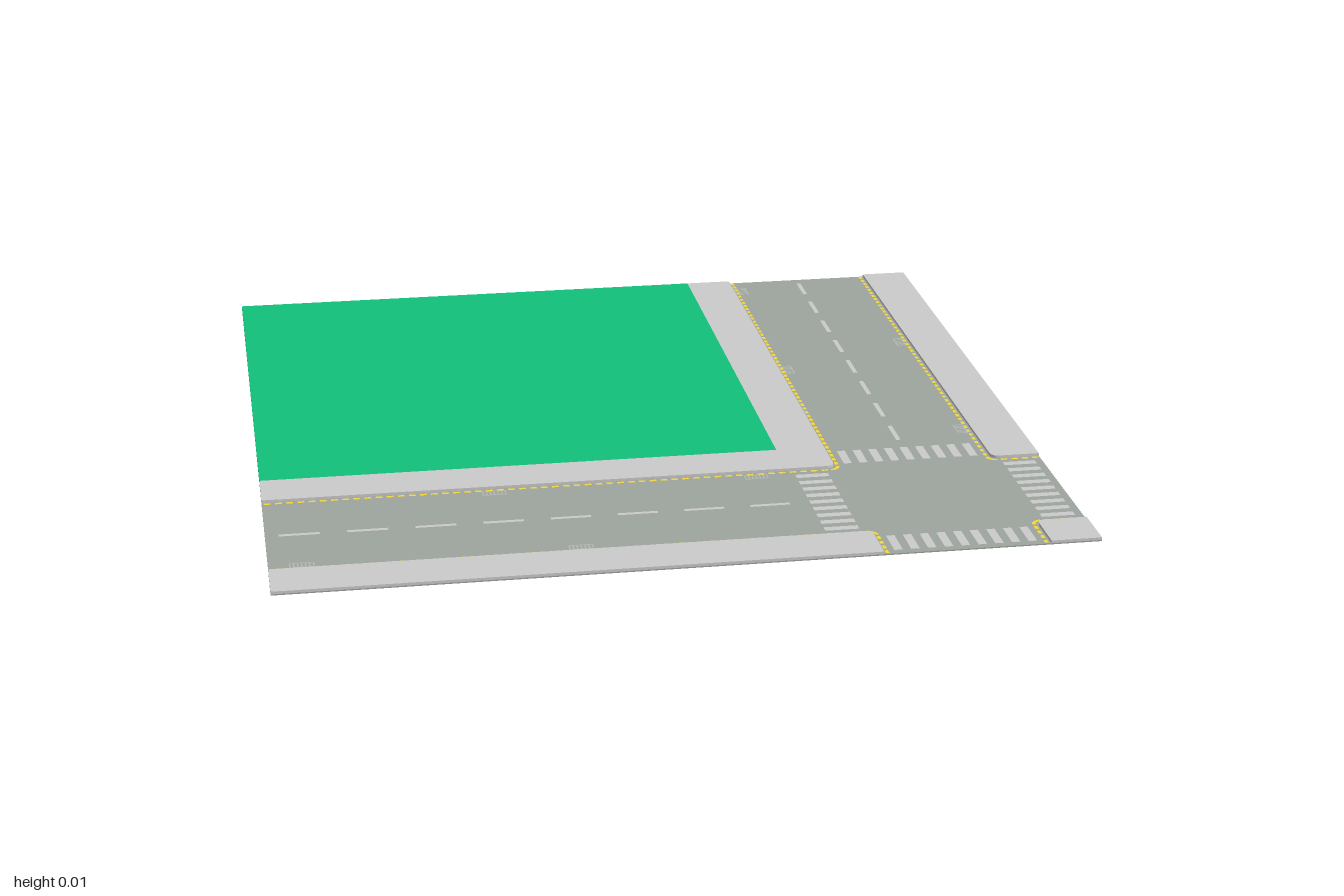
import * as THREE from 'three';
import { mergeGeometries } from 'three/addons/utils/BufferGeometryUtils.js';

const C = 0.667;         // centre line of both roads
const HALF = 0.207;      // half width of the carriageway
const LINE = 0.197;      // offset of the yellow edge lines
const LOT = 0.333;       // inner corner of the grass plot
const ROAD_Y = 0.003, TOP_Y = 0.01, PAINT_Y = 0.0036;
const R = 0.022;         // kerb corner radius

const paint = (color) => new THREE.MeshStandardMaterial({ color, side: THREE.DoubleSide });

// Extrudes a plan outline (x, z) from y0 to y1
function slab(name, shape, y0, y1, color) {
  const g = new THREE.ExtrudeGeometry(shape, { depth: y1 - y0, bevelEnabled: false, curveSegments: 6 });
  g.rotateX(Math.PI / 2).translate(0, y1, 0);
  const m = new THREE.Mesh(g, new THREE.MeshStandardMaterial({ color }));
  m.name = name;
  return m;
}

const polygon = (pts) => new THREE.Shape(pts.map(([x, z]) => new THREE.Vector2(x, z)));

// Flat painted rectangle lying on the road
const flat = (x, z, w, d, y = PAINT_Y) =>
  new THREE.PlaneGeometry(w, d).rotateX(-Math.PI / 2).translate(x, y, z);

function merged(name, parts, color) {
  const m = new THREE.Mesh(mergeGeometries(parts), paint(color));
  m.name = name;
  return m;
}

export function createModel() {
  const group = new THREE.Group();

  // Road bed, an L around the plot
  group.add(slab('roadBed', polygon([[1, -1], [1, 1], [-1, 1], [-1, LOT], [LOT, LOT], [LOT, -1]]), 0, ROAD_Y, 0x9ea49e));

  // Grass plot
  group.add(slab('grassPlot', polygon([[-1, -1], [LOT, -1], [LOT, LOT], [-1, LOT]]), 0, TOP_Y, 0x12c07b));

  // Four pavements, each with a rounded corner at the crossing
  for (const sx of [-1, 1]) for (const sz of [-1, 1]) {
    const kx = C + sx * HALF, kz = C + sz * HALF;
    const s = new THREE.Shape();
    s.moveTo(sx, sz);
    s.lineTo(kx, sz);
    s.lineTo(kx, kz + sz * R);
    s.quadraticCurveTo(kx, kz, kx + sx * R, kz);
    s.lineTo(sx, kz);
    if (sx < 0 && sz < 0) { // leave room for the plot
      const inner = polygon([[LOT, -1], [kx, -1], [kx, kz - R]]);
      inner.quadraticCurveTo(kx, kz, kx - R, kz);
      inner.lineTo(-1, kz);
      inner.lineTo(-1, LOT);
      inner.lineTo(LOT, LOT);
      group.add(slab('pavementInner', inner, ROAD_Y, TOP_Y, 0xcccccc));
    } else {
      group.add(slab('pavementOuter', s, ROAD_Y, TOP_Y, 0xcccccc));
    }
  }

  // Drain grates beside the kerbs: [position along road, side]
  const drains = [[-0.92, 1], [-0.25, 1], [-0.42, -1], [0.25, -1]];
  const grates = [];
  for (const [t, side] of drains) {
    const addGrate = (along, across, turn) => {
      const put = (a, c, la, lc) => grates.push(turn ? flat(c, a, lc, la) : flat(a, c, la, lc));
      for (const e of [-1, 1]) put(along, across + e * 0.012, 0.06, 0.003);
      for (let i = -3; i <= 3; i++) put(along + i * 0.0095, across, 0.003, 0.024);
    };
    addGrate(t, C + side * 0.18, false);
    addGrate(t, C - side * 0.18, true);
  }
  group.add(merged('drainGrates', grates, 0xb8bcb8));

  // Dashed yellow edge lines with solid rounded corners
  const yellow = [];
  const pitch = 0.0278, dash = 0.017, width = 0.009;
  for (const s of [-1, 1]) {
    const edge = C + s * LINE;
    for (let t = -1 + pitch / 2; t < 0.99; t += pitch) {
      if (Math.abs(t - C) < LINE + R) continue;
      yellow.push(flat(t, edge, dash, width), flat(edge, t, width, dash));
    }
    for (const sz of [-1, 1]) {
      const cz = C + sz * LINE;
      const start = s > 0 ? (sz > 0 ? Math.PI / 2 : Math.PI) : (sz > 0 ? 0 : -Math.PI / 2);
      yellow.push(new THREE.RingGeometry(R - width / 2, R + width / 2, 8, 1, start, Math.PI / 2)
        .rotateX(-Math.PI / 2).translate(edge + s * R, PAINT_Y, cz + sz * R));
    }
  }
  group.add(merged('edgeLines', yellow, 0xf5d838));

  // White centre dashes on both arms
  const centre = [];
  for (let i = 0; i < 8; i++) {
    const t = -0.917 + i / 6;
    centre.push(flat(t, C, 0.1, 0.012), flat(C, t, 0.012, 0.1));
  }
  group.add(merged('centreLines', centre, 0xcccccc));

  // Zebra crossings on the four sides of the junction
  const zebra = [];
  for (const p of [0.393, 0.938]) for (let i = -4; i <= 4; i++) {
    const t = C + i * 0.0417;
    zebra.push(flat(p, t, 0.085, 0.021), flat(t, p, 0.021, 0.085));
  }
  group.add(merged('crosswalks', zebra, 0xcccccc));

  return group;
}
